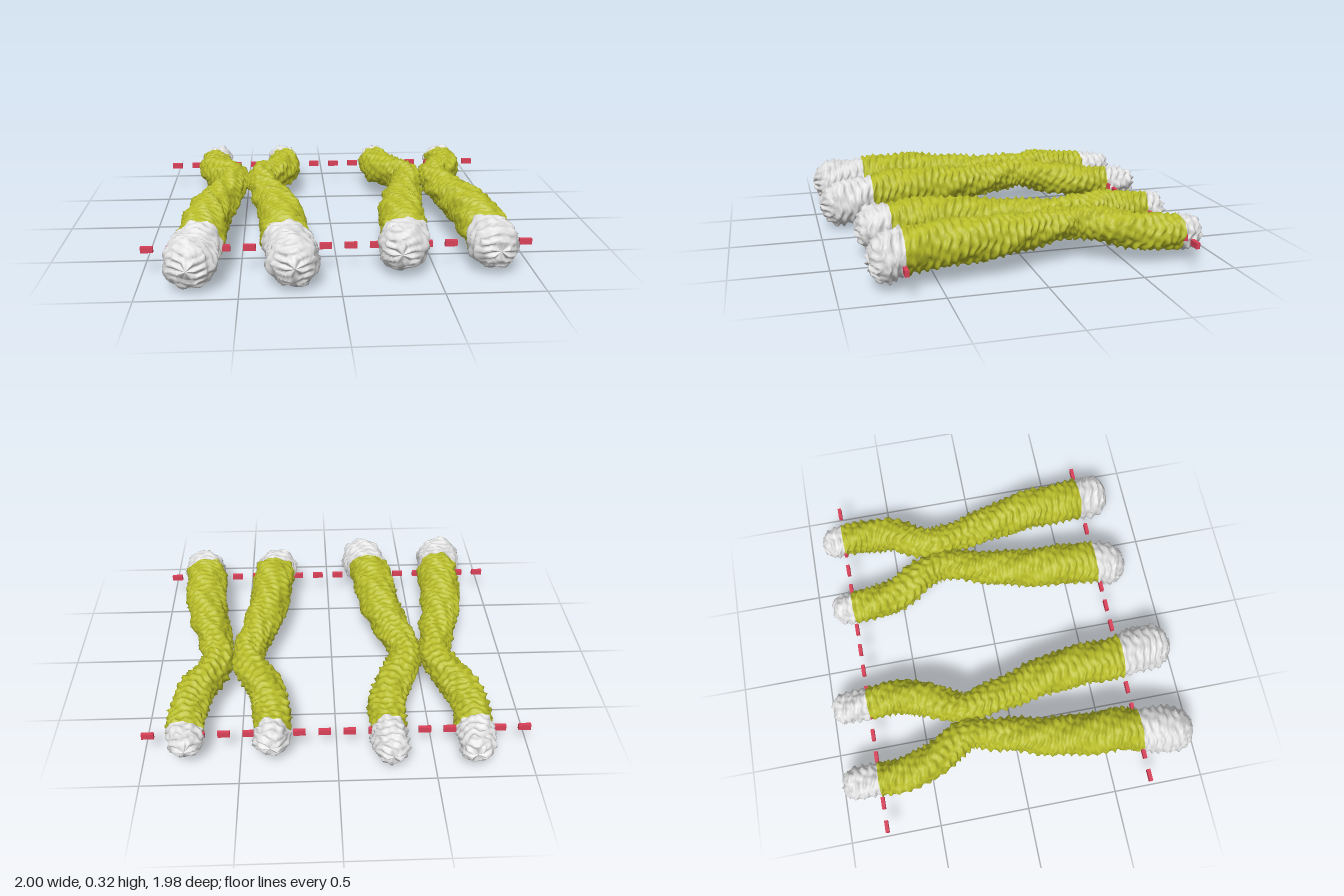
import * as THREE from 'three';

const TOP_BAND = -0.785, LOW_BAND = 0.685; // z of the two dashed lines
const SIDES = 48;

// Arm profile: z, then sideways offset from the pair's axis, height, radius
const PROFILE = [
  [-1.0, 0.208, 0.125, 0.086],
  [-0.8, 0.221, 0.14, 0.093],
  [-0.62, 0.218, 0.153, 0.098],
  [-0.48, 0.182, 0.172, 0.097],
  [-0.35, 0.112, 0.187, 0.091],
  [-0.25, 0.08, 0.195, 0.085],
  [-0.13, 0.097, 0.191, 0.088],
  [0.0, 0.126, 0.182, 0.096],
  [0.2, 0.172, 0.18, 0.109],
  [0.4, 0.2, 0.184, 0.118],
  [0.6, 0.209, 0.175, 0.12],
  [0.7, 0.224, 0.155, 0.124],
  [0.82, 0.246, 0.138, 0.131],
  [1.0, 0.26, 0.135, 0.127],
];
const spline = new THREE.CubicInterpolant(
  PROFILE.map((p) => p[0]), PROFILE.flatMap((p) => p.slice(1)), 3, new Float32Array(3));

// Ring stations of one section; dense steps suit the fine ridges
function stations(from, to) {
  const n = Math.ceil((to - from) / 0.0068);
  return Array.from({ length: n }, (_, i) => from + ((to - from) * i) / n);
}

// Height of the irregular, sharp-crested wrinkles at station z and angle a
function wrinkle(z, a, seed) {
  const phase = (Math.PI * z) / 0.043
    + 0.8 * Math.sin(2 * a + 6 * z + seed)
    + 0.5 * Math.sin(5 * a - 11 * z + 2 * seed)
    + 0.3 * Math.sin(9 * a + 17 * z + 3 * seed);
  const crest = Math.pow(1 - Math.abs(Math.sin(phase)), 1.2);
  const strength = 0.7 + 0.3 * Math.sin(7 * a + 29 * z + seed);
  const lumps = 0.005 * Math.sin(3 * a + 23 * z + seed) + 0.003 * Math.sin(11 * a - 47 * z + 2 * seed);
  return 0.022 * crest * strength + lumps - 0.01;
}

// A wrinkled, round-ended arm swept along the profile: cap, body, cap
function chromatidGeometry(axisX, side, zStart, zEnd, lowBand, seed) {
  const sections = [stations(zStart, TOP_BAND), stations(TOP_BAND, lowBand), stations(lowBand, zEnd)];
  const rings = [...sections.flat(), zEnd];
  const at = (z) => {
    const [o, y, r] = spline.evaluate(z);
    return { p: new THREE.Vector3(axisX + side * o, y, z), r };
  };
  const positions = [], indices = [];
  for (const z of rings) {
    const { p, r } = at(z);
    const tangent = at(Math.min(z + 0.01, 1)).p.sub(at(Math.max(z - 0.01, -1)).p).normalize();
    // Rings stand upright where the colour changes
    const near = Math.min(Math.abs(z - TOP_BAND), Math.abs(z - lowBand));
    const tilt = 1 - Math.exp(-((near / 0.1) ** 2));
    tangent.set(tangent.x * tilt, tangent.y * tilt, tangent.z).normalize();
    const u = new THREE.Vector3(0, 1, 0).cross(tangent).normalize();
    const v = tangent.clone().cross(u);
    // Rounded ends
    const gap = Math.min(z - zStart, zEnd - z);
    const k = Math.max(0, 1 - gap / (r * 0.8));
    const round = Math.sqrt(Math.max(0, 1 - k * k));
    for (let j = 0; j < SIDES; j++) {
      const a = (j / SIDES) * Math.PI * 2;
      const radius = (r + wrinkle(z, a, seed)) * round;
      const cx = Math.cos(a) * radius, cy = Math.sin(a) * radius;
      // Horizontal folds across the blunt ends
      const fold = 0.012 * k * Math.sin(cy * 170 + 2 * Math.sin(cx * 30 + seed));
      const q = p.clone().addScaledVector(u, cx).addScaledVector(v, cy).addScaledVector(tangent, fold);
      positions.push(q.x, q.y, q.z);
    }
  }
  for (let i = 0; i < rings.length - 1; i++) {
    for (let j = 0; j < SIDES; j++) {
      const a = i * SIDES + j, b = i * SIDES + ((j + 1) % SIDES);
      indices.push(a, b, a + SIDES, b, b + SIDES, a + SIDES);
    }
  }
  const g = new THREE.BufferGeometry();
  g.setAttribute('position', new THREE.Float32BufferAttribute(positions, 3));
  g.setIndex(indices);
  let start = 0;
  sections.forEach((s, i) => {
    const count = s.length * SIDES * 6;
    g.addGroup(start, count, i === 1 ? 1 : 0);
    start += count;
  });
  g.computeVertexNormals();
  return g;
}

export function createModel() {
  const tipGrey = new THREE.MeshStandardMaterial({ color: 0xe0e0e0 });
  tipGrey.name = 'tipGrey';
  const bodyGreen = new THREE.MeshStandardMaterial({ color: 0xb8bd29 });
  bodyGreen.name = 'bodyGreen';
  const dashRed = new THREE.MeshStandardMaterial({ color: 0xdc4159 });
  dashRed.name = 'dashRed';

  const model = new THREE.Group();
  model.name = 'chromosomePair';

  // Two X-shaped chromosomes, the first with longer tips
  const chromosomes = [
    { name: 'longTipChromosome', x: -0.486, start: -0.985, end: 0.98, lowBand: 0.685 },
    { name: 'shortTipChromosome', x: 0.557, start: -0.905, end: 0.845, lowBand: 0.67 },
  ];
  chromosomes.forEach((c, i) => {
    const group = new THREE.Group();
    group.name = c.name;
    for (const side of [-1, 1]) {
      const arm = new THREE.Mesh(
        chromatidGeometry(c.x, side, c.start, c.end, c.lowBand, 1.7 + i * 2.3 + side),
        [tipGrey, bodyGreen]);
      arm.name = side < 0 ? 'rightChromatid' : 'leftChromatid';
      group.add(arm);
    }
    model.add(group);
  });

  // Dashed marker lines where the tips begin
  const dashGeometry = new THREE.BoxGeometry(0.064, 0.032, 0.02);
  for (const [name, z] of [['backDashedLine', TOP_BAND], ['frontDashedLine', LOW_BAND]]) {
    const line = new THREE.Group();
    line.name = name;
    for (let i = 0; i < 16; i++) {
      const dash = new THREE.Mesh(dashGeometry, dashRed);
      dash.name = 'dash';
      dash.position.set(-0.968 + (i * 1.936) / 15, 0.131, z);
      line.add(dash);
    }
    model.add(line);
  }
  return model;
}
